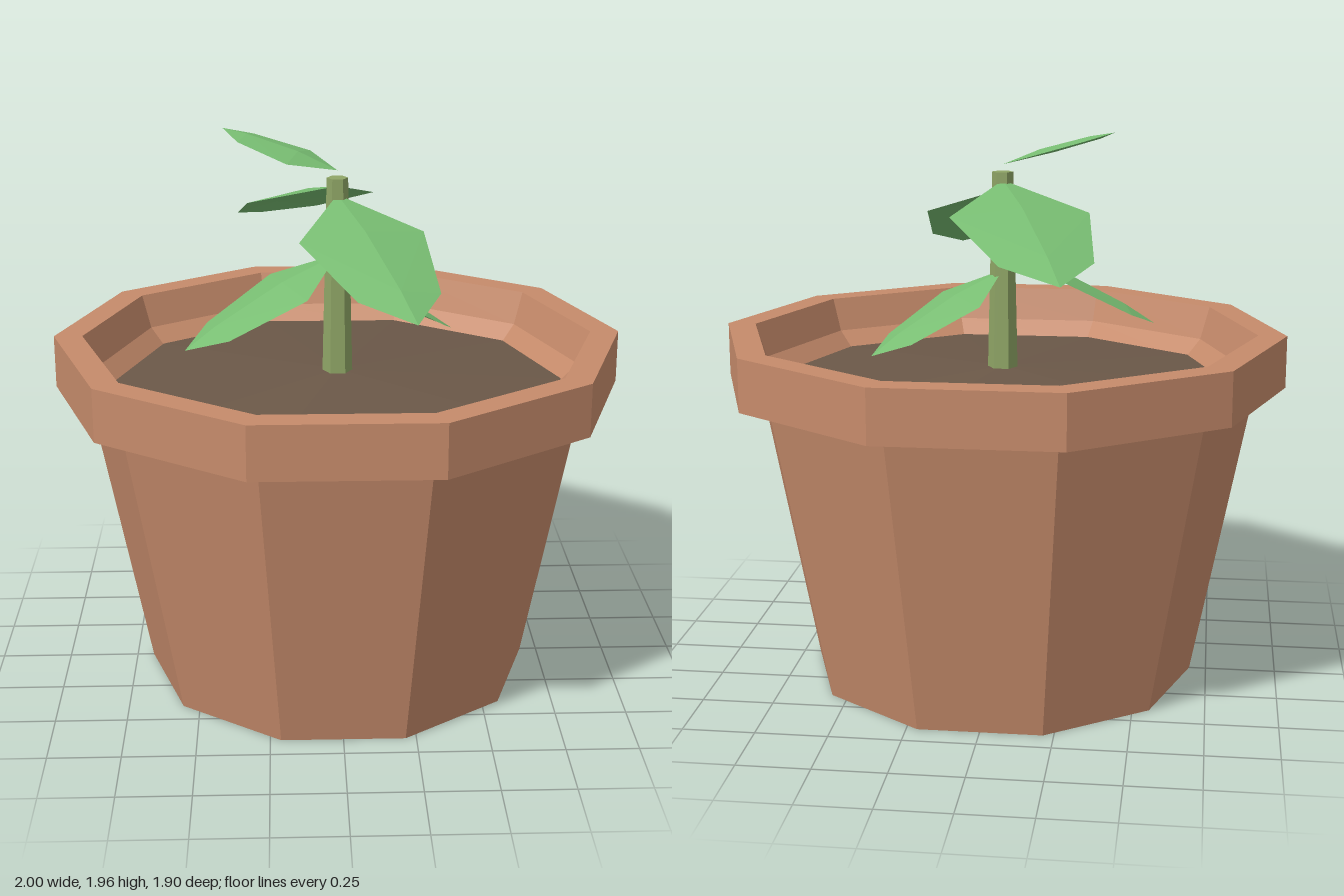
import * as THREE from 'three';

const material = (color, side = THREE.FrontSide) =>
  new THREE.MeshStandardMaterial({ color, side, flatShading: true });

const part = (name, geometry, mat) => {
  const mesh = new THREE.Mesh(geometry, mat);
  mesh.name = name;
  return mesh;
};

// Ten-sided solid of revolution with corners on the x axis
const decagon = (profile) =>
  new THREE.LatheGeometry(profile.map(([r, y]) => new THREE.Vector2(r, y)), 10, Math.PI / 2);

// Pointed leaf of unit length along +z, gently folded along its midrib
function leafGeometry() {
  const midrib = [[0, 0, 0], [0, 0.035, 0.35], [0, 0.025, 0.79], [0, 0, 1]];
  const corners = [];
  for (const s of [1, -1]) {
    const [base, m1, m2, tip] = midrib;
    const wide = [s * 0.303, -0.01, 0.33];
    const narrow = [s * 0.197, -0.01, 0.79];
    const faces = [[base, m1, wide], [m1, m2, wide], [m2, narrow, wide], [m2, tip, narrow]];
    for (const f of faces) corners.push(...(s > 0 ? f : [f[0], f[2], f[1]]));
  }
  const geometry = new THREE.BufferGeometry();
  geometry.setAttribute('position', new THREE.Float32BufferAttribute(corners.flat(), 3));
  geometry.computeVertexNormals();
  return geometry;
}

export function createModel() {
  const group = new THREE.Group();
  group.name = 'pottedPlant';
  const clay = material(0xc68b6b);

  // Pot: closed base, tapered wall, overhanging rim, sloped inside
  group.add(part('pot', decagon([
    [0, 0], [0.69, 0], [0.895, 1.065], [1, 1.065], [1, 1.25],
    [0.9, 1.25], [0.86, 1.13], [0.79, 1.06],
  ]), clay));

  // Soil, slightly mounded
  group.add(part('soil', decagon([[0.802, 1.075], [0, 1.12]]), material(0x6b5848)));

  // Stem
  const stem = part('stem',
    new THREE.CylinderGeometry(0.037, 0.054, 0.73, 6, 1, false, Math.PI / 2), material(0x8fa566));
  stem.position.y = 1.445;
  group.add(stem);

  // Leaves: height on the stem, then offset of the tip
  const leaves = [
    [1.78, -0.265, -0.25, -0.715],
    [1.75, 0.235, -0.28, 0.65],
    [1.54, -0.53, -0.29, 0.187],
    [1.465, 0.428, -0.27, -0.25],
    [1.835, -0.396, 0.125, -0.134],
  ];
  const blade = leafGeometry();
  const green = material(0x78bd72, THREE.DoubleSide);
  leaves.forEach(([y, dx, dy, dz], i) => {
    const leaf = part(`leaf${i + 1}`, blade, green);
    leaf.position.y = y;
    leaf.rotation.set(-Math.atan2(dy, Math.hypot(dx, dz)), Math.atan2(dx, dz), 0, 'YXZ');
    leaf.scale.setScalar(Math.hypot(dx, dy, dz));
    group.add(leaf);
  });

  return group;
}
